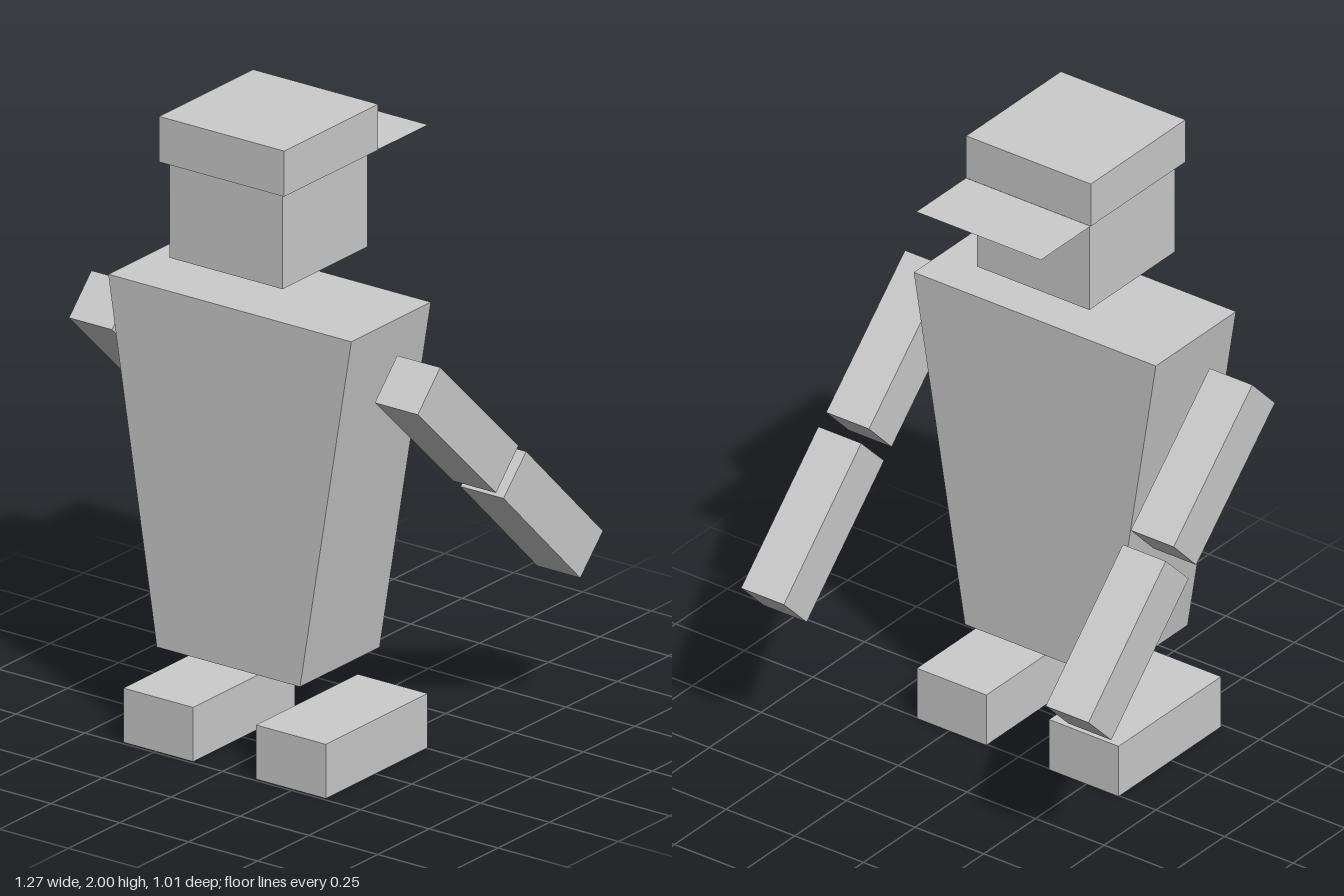
import * as THREE from 'three';

const material = new THREE.MeshStandardMaterial({ color: 0xcccccc, flatShading: true });
const thinMaterial = new THREE.MeshStandardMaterial({ color: 0xcccccc, flatShading: true, side: THREE.DoubleSide });

export function createModel() {
  const model = new THREE.Group();

  const add = (name, geometry, x, y, z, mat = material) => {
    const mesh = new THREE.Mesh(geometry, mat);
    mesh.name = name;
    mesh.position.set(x, y, z);
    model.add(mesh);
    return mesh;
  };
  const box = (name, w, h, d, x, y, z) => add(name, new THREE.BoxGeometry(w, h, d), x, y, z);

  // Head and cap, with a paper-thin brim behind
  box('head', 0.41, 0.305, 0.413, 0, 1.7075, 0.276);
  box('cap', 0.454, 0.143, 0.457, 0, 1.9285, 0.276);
  add('capBrim', new THREE.PlaneGeometry(0.454, 0.24).rotateX(-Math.PI / 2), 0, 1.858, -0.074, thinMaterial);

  // Torso tapering to the waist
  const outline = new THREE.Shape([[-0.262, 0.317], [0.258, 0.317], [0.444, 1.443], [-0.438, 1.443]]
    .map(([x, y]) => new THREE.Vector2(x, y)));
  add('torso', new THREE.ExtrudeGeometry(outline, { depth: 0.387, bevelEnabled: false }), 0, 0, 0.082);

  // Arms in two slanting segments, and feet
  for (const [side, s] of [['left', 1], ['right', -1]]) {
    const armX = s * 0.555;
    box(side + 'UpperArm', 0.156, 0.157, 0.529, armX, 1.11, 0.154).rotation.x = -0.768;
    box(side + 'Forearm', 0.156, 0.157, 0.525, armX, 0.712, -0.26).rotation.x = -0.78;
    box(side + 'Foot', 0.253, 0.17, 0.495, s * 0.241, 0.085, 0.243);
  }

  return model;
}
